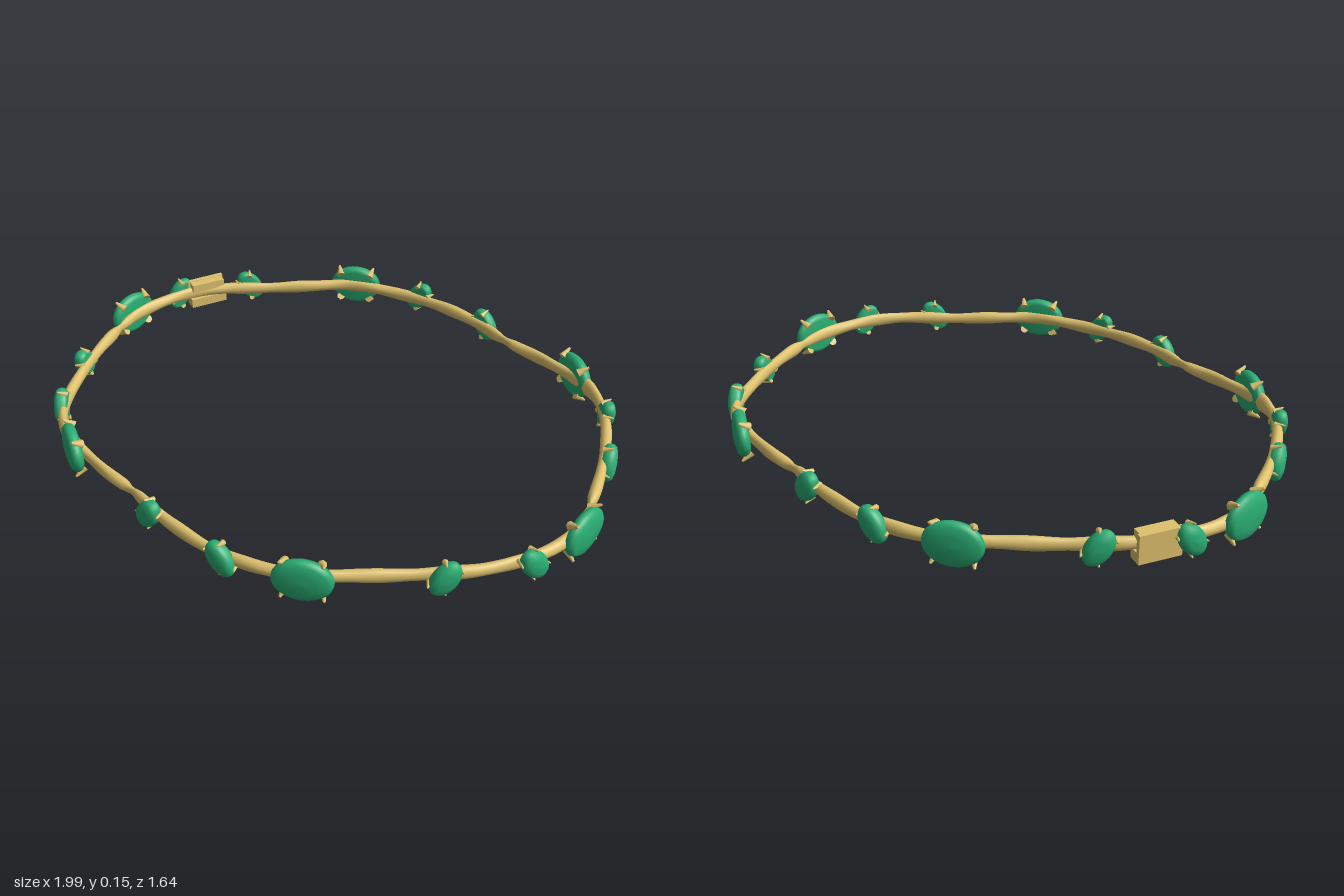
import * as THREE from 'three';

const MID = 0.08; // height of the band's centre line
const gold = new THREE.MeshStandardMaterial({ color: 0xdfc26e });
gold.name = 'gold';
const green = new THREE.MeshStandardMaterial({ color: 0x2aae74 });
green.name = 'green stone';

// Half of the loop (x, z); the other half is the same turned by 180 degrees
const HALF = [
  [0.93, -0.03], [0.885, -0.21], [0.79, -0.45], [0.68, -0.58], [0.47, -0.66],
  [0.28, -0.70], [0.08, -0.755], [-0.13, -0.772], [-0.37, -0.72], [-0.505, -0.63],
  [-0.665, -0.51], [-0.80, -0.40], [-0.905, -0.25], [-0.945, -0.10],
];

// Stones of one half: x, z, facing angle (degrees from +x to +z), tilt (0 = large)
const STONES = [
  [0.966, 0.09, 6, 0], [0.905, 0.298, 22, -1], [0.722, 0.497, 45, 1],
  [0.385, 0.73, 66, 0], [0.135, 0.79, 88, -1], [-0.17, 0.753, 103, 1],
  [-0.585, 0.642, 125, 0], [-0.772, 0.494, 143, -1], [-0.889, 0.255, 162, 1],
];

// Swept band: an oval section that swells, pinches and flares like a twig
function bandGeometry() {
  const pts = [1, -1].flatMap(s => HALF.map(([x, z]) => new THREE.Vector3(s * x, MID, s * z)));
  const curve = new THREE.CatmullRomCurve3(pts, true, 'centripetal');
  const near = (p, x, z, r) => [1, -1].reduce((sum, s) =>
    sum + Math.exp(-(((p.x - s * x) ** 2 + (p.z - s * z) ** 2) / (r * r))), 0);
  const N = 280, M = 12, pos = [], idx = [];
  for (let i = 0; i < N; i++) {
    const u = i / N, p = curve.getPointAt(u), t = curve.getTangentAt(u);
    const out = new THREE.Vector3(-t.z, 0, t.x);
    const pinch = near(p, 0.28, -0.70, 0.03) + near(p, 0.93, -0.02, 0.03);
    const flare = near(p, 0.66, -0.59, 0.07);
    const wob = Math.sin(u * Math.PI * 2 * 26);
    const h = 0.022 + 0.010 * flare + 0.002 * wob - 0.006 * pinch;
    const w = 0.017 + 0.002 * Math.sin(u * Math.PI * 2 * 18) - 0.010 * pinch;
    const lift = 0.003 * Math.sin(u * Math.PI * 2 * 10);
    for (let j = 0; j < M; j++) {
      const a = j / M * Math.PI * 2;
      pos.push(p.x + out.x * w * Math.cos(a), p.y + lift + h * Math.sin(a), p.z + out.z * w * Math.cos(a));
      const i2 = (i + 1) % N, j2 = (j + 1) % M;
      const A = i * M + j, B = i2 * M + j, C = i2 * M + j2, D = i * M + j2;
      idx.push(A, B, C, A, C, D);
    }
  }
  const g = new THREE.BufferGeometry();
  g.setAttribute('position', new THREE.Float32BufferAttribute(pos, 3));
  g.setIndex(idx);
  g.computeVertexNormals();
  return g;
}

// Oval stone with a thick rim and a low dome, facing +z
function stoneGeometry(a, b, depth) {
  const profile = [[0.001, -0.45], [0.78, -0.43], [0.94, -0.3], [1, -0.05], [0.98, 0.2], [0.86, 0.42], [0.5, 0.56], [0.001, 0.6]]
    .map(([r, y]) => new THREE.Vector2(r, y * depth));
  return new THREE.LatheGeometry(profile, 32).rotateX(Math.PI / 2).scale(a, b, 1);
}

// Tapered claw between two points
function claw(from, to, radius) {
  const a = new THREE.Vector3(...from), b = new THREE.Vector3(...to);
  const mesh = new THREE.Mesh(new THREE.CylinderGeometry(radius * 0.25, radius, a.distanceTo(b), 8), gold);
  mesh.position.copy(a).lerp(b, 0.5);
  mesh.quaternion.setFromUnitVectors(new THREE.Vector3(0, 1, 0), b.sub(a).normalize());
  mesh.name = 'claw';
  return mesh;
}

const largeStone = stoneGeometry(0.094, 0.074, 0.046);
const smallStone = stoneGeometry(0.062, 0.04, 0.046);

// Stone with four short claws tucked behind its rim
function setting(x, z, angle, tilt) {
  const g = new THREE.Group(), large = tilt === 0;
  g.name = large ? 'largeSetting' : 'smallSetting';
  const stone = new THREE.Mesh(large ? largeStone : smallStone, green);
  stone.name = large ? 'largeStone' : 'smallStone';
  g.add(stone);
  const [cx, cy, r] = large ? [0.066, 0.069, 0.015] : [0.046, 0.034, 0.010];
  for (const sx of [1, -1]) for (const sy of [1, -1]) {
    g.add(claw([sx * cx * 0.82, sy * cy * 0.68, -0.021], [sx * cx, sy * cy, 0.012], r));
  }
  g.position.set(x, MID, z);
  g.rotation.set(0, Math.PI / 2 - THREE.MathUtils.degToRad(angle), tilt * 0.95, 'YXZ');
  return g;
}

// Clasp: an outer plate with two rails on the inner side
function clasp() {
  const g = new THREE.Group();
  g.name = 'clasp';
  const box = (name, w, h, d, y, z) => {
    const m = new THREE.Mesh(new THREE.BoxGeometry(w, h, d), gold);
    m.position.set(0, y, z);
    m.name = name;
    g.add(m);
  };
  box('claspPlate', 0.14, 0.095, 0.016, 0, 0.016);
  box('claspUpperRail', 0.125, 0.03, 0.034, 0.031, -0.008);
  box('claspLowerRail', 0.14, 0.034, 0.034, -0.0305, -0.008);
  g.position.set(-0.835, MID, -0.37);
  g.rotation.y = Math.PI / 2 - THREE.MathUtils.degToRad(210);
  return g;
}

export function createModel() {
  const model = new THREE.Group();
  model.name = 'bracelet';
  const band = new THREE.Mesh(bandGeometry(), gold);
  band.name = 'band';
  model.add(band, clasp());
  // Two matching halves of stones
  for (const s of [1, -1]) {
    for (const [x, z, angle, tilt] of STONES) {
      model.add(setting(s * x, s * z, angle + (s < 0 ? 180 : 0), tilt));
    }
  }
  return model;
}
